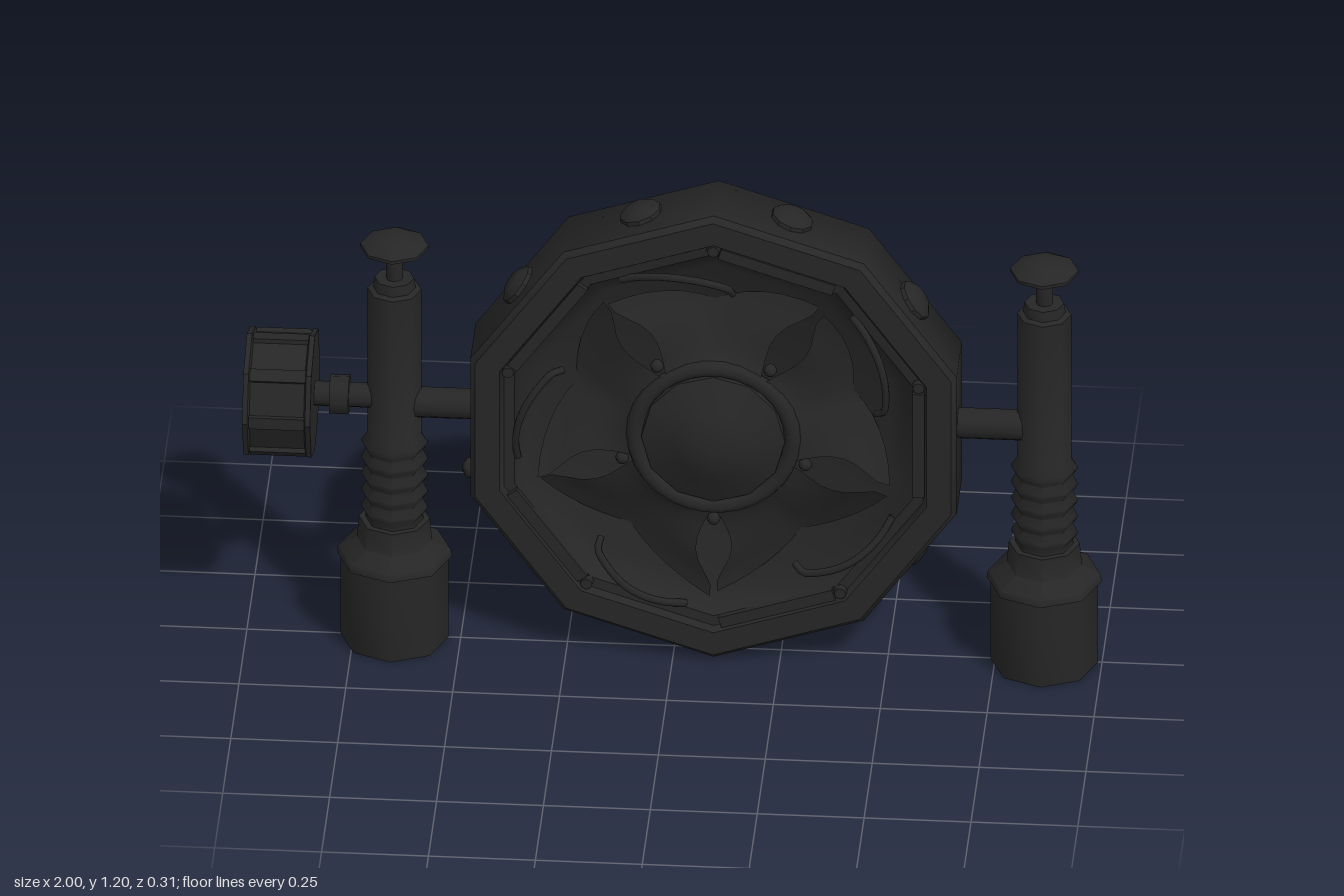
import * as THREE from 'three';
import { toCreasedNormals } from 'three/addons/utils/BufferGeometryUtils.js';

const V = (x, y, z) => new THREE.Vector3(x, y, z);

export function createModel() {
  const model = new THREE.Group();
  const mat = new THREE.MeshStandardMaterial({ color: 0x262626, side: THREE.DoubleSide });

  function add(parent, name, geo, x = 0, y = 0, z = 0) {
    const m = new THREE.Mesh(geo, mat);
    m.name = name;
    m.position.set(x, y, z);
    parent.add(m);
    return m;
  }
  // Turned part from [radius, height] pairs, with edges sharper than the crease kept
  function turned(profile, sides, crease = 0.6) {
    const g = new THREE.LatheGeometry(profile.map(p => new THREE.Vector2(...p)), sides);
    return toCreasedNormals(g, crease);
  }

  // Upright posts: socket foot, bellows, column and press knob on top
  const postProfile = [[0, 0], [0.126, 0], [0.126, 0.22], [0.135, 0.22], [0.132, 0.237],
    [0.088, 0.263], [0.083, 0.32], [0.068, 0.32]];
  for (let i = 0; i < 5; i++) {
    const y = 0.33 + i * 0.044;
    postProfile.push([0.067, y], [0.077, y + 0.016], [0.077, y + 0.024]);
  }
  postProfile.push([0.063, 0.55], [0.063, 0.94], [0.05, 0.945], [0.046, 0.97], [0.02, 0.97],
    [0.02, 1.05], [0.08, 1.052], [0.08, 1.06], [0.04, 1.083], [0, 1.085]);
  for (const [name, x] of [['rightPost', -0.655], ['leftPost', 0.865]])
    add(model, name, turned(postProfile, 8, 1), x, 0, 0);

  // Axles joining the posts to the drum
  const rod = (name, x0, x1, y, r, sides = 10) => {
    const g = new THREE.CylinderGeometry(r, r, x1 - x0, sides).rotateZ(Math.PI / 2);
    add(model, name, g, (x0 + x1) / 2, y, 0);
  };
  rod('rightAxle', -0.65, -0.46, 0.635, 0.037);
  rod('leftAxle', 0.65, 0.86, 0.635, 0.037);

  // Side hand wheel with its stem
  rod('wheelStem', -0.86, -0.65, 0.648, 0.03);
  rod('wheelCollar', -0.805, -0.76, 0.648, 0.048, 8);
  const wheel = new THREE.Group();
  wheel.name = 'handWheel';
  wheel.position.set(-1, 0.648, 0);
  wheel.rotation.z = -Math.PI / 2;
  model.add(wheel);
  add(wheel, 'wheelBody', turned([[0, 0], [0.155, 0], [0.155, 0.012], [0.145, 0.016],
    [0.145, 0.143], [0.155, 0.147], [0.155, 0.159], [0, 0.159]], 8));
  for (let i = 0; i < 8; i++) {
    const a = i * Math.PI / 4;
    const rib = add(wheel, 'wheelRib', new THREE.BoxGeometry(0.03, 0.13, 0.022),
      0.139 * Math.sin(a), 0.08, 0.139 * Math.cos(a));
    rib.rotation.y = a;
  }

  // Ten-sided drum: softly shaded back and wall, stepped rim and recessed floor
  const drum = new THREE.Group();
  drum.name = 'drum';
  drum.position.set(0.095, 0.602, 0);
  model.add(drum);
  add(drum, 'shell', turned([[0, -0.112], [0.598, -0.112], [0.598, 0.05]], 10, 1.7)
    .rotateX(Math.PI / 2));
  add(drum, 'rimAndFloor', turned([[0.598, 0.05], [0.585, 0.064], [0.525, 0.064], [0.515, 0.047],
    [0.49, 0.045], [0.475, 0.02], [0.43, -0.01], [0, -0.02]], 10, 0.7).rotateX(Math.PI / 2));

  // Studs on the outer wall; bars and bolts on alternate flats of the rim
  const stud = turned([[0.052, -0.012], [0.05, 0.012], [0.03, 0.026], [0, 0.028]], 10);
  const bolt = new THREE.CylinderGeometry(0.014, 0.018, 0.02, 8).rotateX(Math.PI / 2);
  const bar = new THREE.BoxGeometry(0.028, 0.28, 0.03);
  for (let i = 0; i < 10; i++) {
    const a = i * Math.PI / 5;
    const c = Math.cos(a), s = Math.sin(a);
    if (i % 5) add(drum, 'wallStud', stud, 0.567 * c, 0.567 * s, -0.04).rotation.z = a - Math.PI / 2;
    if (i % 2 === 0) {
      add(drum, 'rimBar', bar, 0.48 * c, 0.48 * s, 0.045).rotation.z = a;
      const b = a + Math.PI / 10;
      add(drum, 'rimBolt', bolt, 0.505 * Math.cos(b), 0.505 * Math.sin(b), 0.05);
    }
  }
  const sideBolt = add(drum, 'sideBolt', new THREE.SphereGeometry(0.025, 8, 6), -0.572, -0.14, 0);
  sideBolt.scale.x = 0.8;

  // Pointed hub inside a rolled collar
  add(drum, 'hub', turned([[0.172, 0.03], [0.168, 0.064], [0.09, 0.096], [0, 0.135]], 12, 0.9)
    .rotateX(Math.PI / 2));
  add(drum, 'hubCollar', new THREE.TorusGeometry(0.185, 0.02, 8, 30), 0, 0, 0.05);

  // Flared petals: low along the middle, lifted at the sides
  function petalGeometry() {
    const g = new THREE.PlaneGeometry(2, 1, 12, 8);
    const p = g.attributes.position;
    for (let i = 0; i < p.count; i++) {
      const u = p.getX(i), v = p.getY(i) + 0.5;
      const half = (35 - 7 * Math.sin(Math.PI * Math.min(1, v * 1.2))) * Math.PI / 180;
      const r = 0.19 + v * (0.15 + 0.09 * Math.abs(u));
      const a = Math.PI / 2 - u * half;
      const z = 0.06 - 0.07 * Math.pow(v, 0.7) + 0.055 * v * u * u - 0.012 * u * v;
      p.setXYZ(i, r * Math.cos(a), r * Math.sin(a), z);
    }
    g.computeVertexNormals();
    return g;
  }

  // Wire curling over each petal, ending in a hook
  const wirePoints = [];
  for (let i = 0; i <= 6; i++) {
    const t = i / 6, a = (118 - 33 * t) * Math.PI / 180;
    const r = 0.465 - 0.055 * t * t;
    wirePoints.push(V(r * Math.cos(a), r * Math.sin(a), 0.04 + 0.04 * Math.sin(Math.PI * Math.min(1, t * 0.8))));
  }
  wirePoints.push(V(0.045, 0.385, 0.045));
  const wire = new THREE.TubeGeometry(new THREE.CatmullRomCurve3(wirePoints), 24, 0.009, 6);
  const petal = petalGeometry();
  const pin = new THREE.SphereGeometry(0.016, 8, 6);
  for (let i = 0; i < 5; i++) {
    const a = i * Math.PI * 0.4;
    add(drum, 'petal', petal).rotation.z = a;
    add(drum, 'wire', wire).rotation.z = a;
    // Small pin in each gap between petals
    const b = a - Math.PI / 2;
    add(drum, 'gapPin', pin, 0.225 * Math.cos(b), 0.225 * Math.sin(b), 0.045);
  }
  return model;
}
